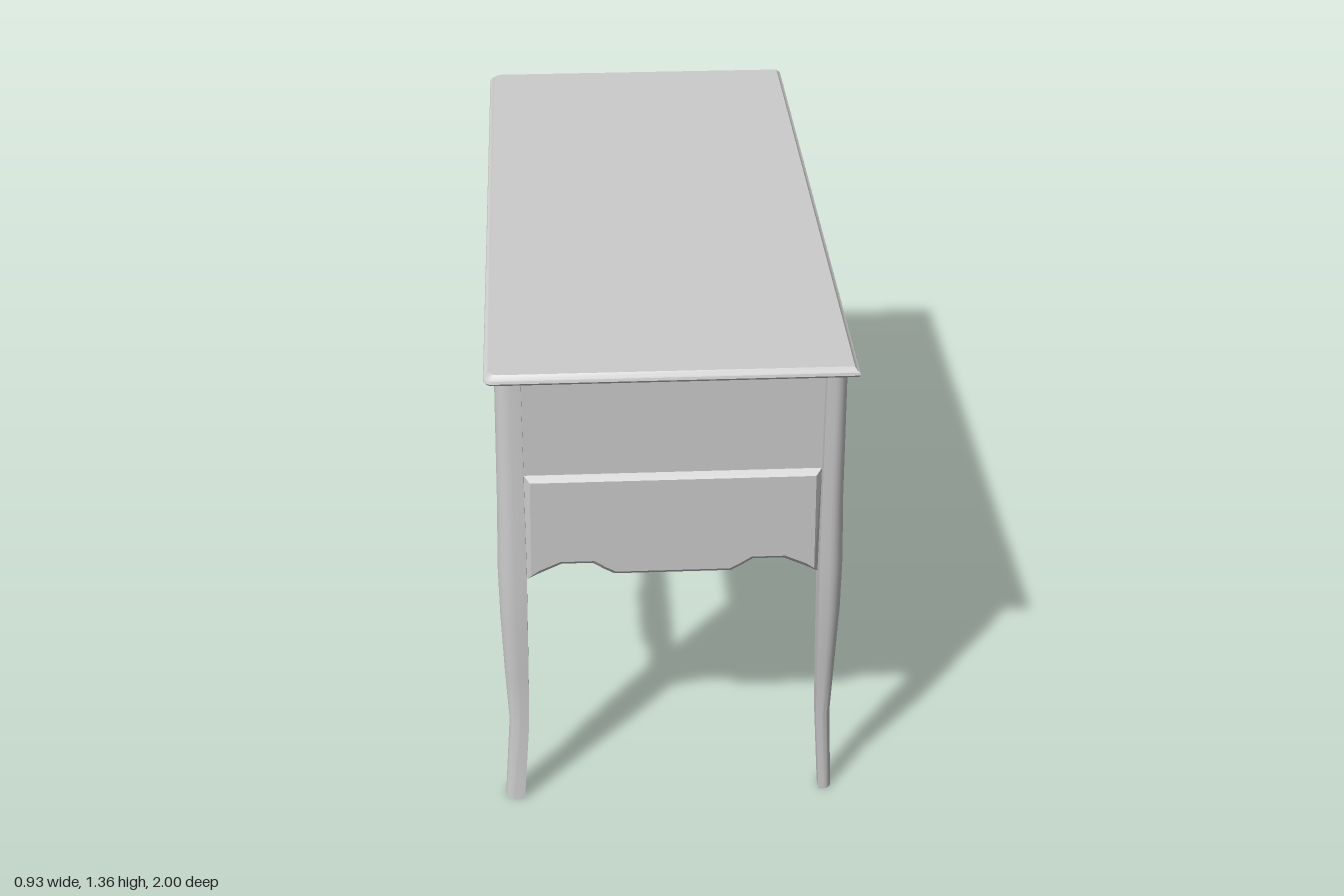
import * as THREE from 'three';
import { toCreasedNormals } from 'three/addons/utils/BufferGeometryUtils.js';

const material = new THREE.MeshStandardMaterial({ color: 0xcccccc });

function add(group, name, geometry) {
  const mesh = new THREE.Mesh(geometry, material);
  mesh.name = name;
  group.add(mesh);
  return mesh;
}

// Box given by its lower and upper limits
function box(group, name, x0, x1, y0, y1, z0, z1) {
  add(group, name, new THREE.BoxGeometry(x1 - x0, y1 - y0, z1 - z0))
    .position.set((x0 + x1) / 2, (y0 + y1) / 2, (z0 + z1) / 2);
}

// Closed solid through convex rings of [x, z] points stacked in y
function loft(rings, heights) {
  const signedArea = rings[0].reduce((sum, p, i, r) => {
    const q = r[(i + 1) % r.length];
    return sum + p[0] * q[1] - q[0] * p[1];
  }, 0);
  if (signedArea > 0) rings = rings.map((r) => [...r].reverse());
  const n = rings[0].length;
  const last = (rings.length - 1) * n;
  const positions = [];
  const index = [];
  rings.forEach((r, k) => r.forEach(([x, z]) => positions.push(x, heights[k], z)));
  for (let a = 0; a < last; a += n) {
    for (let i = 0; i < n; i++) {
      const j = (i + 1) % n;
      index.push(a + i, a + j, a + n + j, a + i, a + n + j, a + n + i);
    }
  }
  for (let i = 1; i < n - 1; i++) {
    index.push(0, i + 1, i, last, last + i, last + i + 1);
  }
  const geometry = new THREE.BufferGeometry();
  geometry.setAttribute('position', new THREE.Float32BufferAttribute(positions, 3));
  geometry.setIndex(index);
  return toCreasedNormals(geometry, 0.6);
}

// Rounded corner of radii rx, rz whose extreme point is (x, z); sx, sz point outward
function corner(x, z, sx, sz, rx, rz, steps) {
  return Array.from({ length: steps + 1 }, (_, i) => {
    const a = (i / steps) * Math.PI / 2;
    return [x - sx * rx * (1 - Math.cos(a)), z - sz * rz * (1 - Math.sin(a))];
  });
}

// Panel with a scalloped lower edge and bevelled rim, centred in depth
function scallopedPanel(width, bottom, top, depth, bevel) {
  const half = [[0, -0.01], [0.05, 0.01], [0.12, 0.035], [0.225, 0.035], [0.265, 0.015], [0.3, 0]];
  const edge = [...half, ...half.map(([u, v]) => [1 - u, v]).reverse()];
  const shape = new THREE.Shape();
  edge.forEach(([u, v], i) => {
    const x = (u - 0.5) * width;
    if (i) shape.lineTo(x, bottom + v);
    else shape.moveTo(x, bottom + v);
  });
  shape.lineTo(width / 2, top);
  shape.lineTo(-width / 2, top);
  shape.closePath();
  const geometry = new THREE.ExtrudeGeometry(shape, {
    depth: depth - 2 * bevel, bevelEnabled: true, bevelThickness: bevel,
    bevelSize: bevel, bevelOffset: -bevel, bevelSegments: 1,
  });
  return geometry.translate(0, 0, bevel - depth / 2);
}

// Cabriole leg: outer and inner limits at each height, rounded on the outer corner
const legHeights = [0, 0.25, 0.42, 0.6, 0.75, 0.95, 1.33];
const legDepth = [[0.955, 0.912], [0.946, 0.903], [0.955, 0.896], [0.965, 0.893], [0.966, 0.89], [0.96, 0.89], [0.955, 0.89]];
const legWidthOpenSide = [[0.452, 0.4], [0.435, 0.382], [0.443, 0.379], [0.449, 0.377], [0.451, 0.375], [0.446, 0.375], [0.441, 0.375]];
const legWidthPanelSide = [[0.451, 0.415], [0.44, 0.4], [0.447, 0.396], [0.454, 0.393], [0.455, 0.39], [0.449, 0.39], [0.445, 0.39]];

function legGeometry(sx, sz) {
  const widths = sx < 0 ? legWidthOpenSide : legWidthPanelSide;
  const rings = widths.map(([xo, xi], k) => {
    const [zo, zi] = legDepth[k];
    return [
      [sx * xi, sz * zi],
      [sx * xo, sz * zi],
      ...corner(sx * xo, sz * zo, sx, sz, (xo - xi) * 0.6, (zo - zi) * 0.6, 6),
      [sx * xi, sz * zo],
    ];
  });
  return loft(rings, legHeights);
}

// Moulded top: rounded corners on the sitting side, square at the back panel
function tabletopGeometry() {
  const profile = [[1.327, 0.02], [1.335, 0.004], [1.341, 0], [1.348, 0.002], [1.351, 0.008], [1.36, 0.014]];
  const rings = profile.map(([, inset]) => {
    const x = 0.467 - inset;
    const z = 1 - inset;
    const r = 0.022;
    return [
      [x, -z], [x, z],
      ...corner(-x, z, -1, 1, r, r, 4).reverse(),
      ...corner(-x, -z, -1, -1, r, r, 4),
    ];
  });
  return loft(rings, profile.map(([y]) => y));
}

export function createModel() {
  const desk = new THREE.Group();
  desk.name = 'desk';

  add(desk, 'tabletop', tabletopGeometry());
  for (const sx of [-1, 1]) {
    for (const sz of [-1, 1]) add(desk, 'leg', legGeometry(sx, sz));
  }

  // Long panel closing the far side
  box(desk, 'modestyPanel', 0.425, 0.445, 0.595, 1.33, -0.9, 0.9);

  // End panels between the legs; the pedestal end has a second, raised lower panel
  box(desk, 'upperEndPanel', -0.38, 0.395, 1.01, 1.33, 0.895, 0.925);
  add(desk, 'lowerEndPanel', scallopedPanel(0.765, 0.722, 1.03, 0.045, 0.015)).position.set(0.0075, 0, 0.9175);
  add(desk, 'endApron', scallopedPanel(0.765, 1.03, 1.335, 0.035, 0.01)).position.set(0.0075, 0, -0.91);

  // Open pedestal: side wall, back wall and a low scalloped rail
  box(desk, 'pedestalSide', -0.425, 0.16, 0.722, 1.33, 0.26, 0.28);
  box(desk, 'pedestalBack', 0.14, 0.16, 0.722, 1.33, 0.28, 0.9);
  const rail = add(desk, 'pedestalRail', scallopedPanel(0.64, 0.73, 0.865, 0.03, 0.006));
  rail.rotation.y = -Math.PI / 2;
  rail.position.set(-0.412, 0, 0.58);

  return desk;
}
